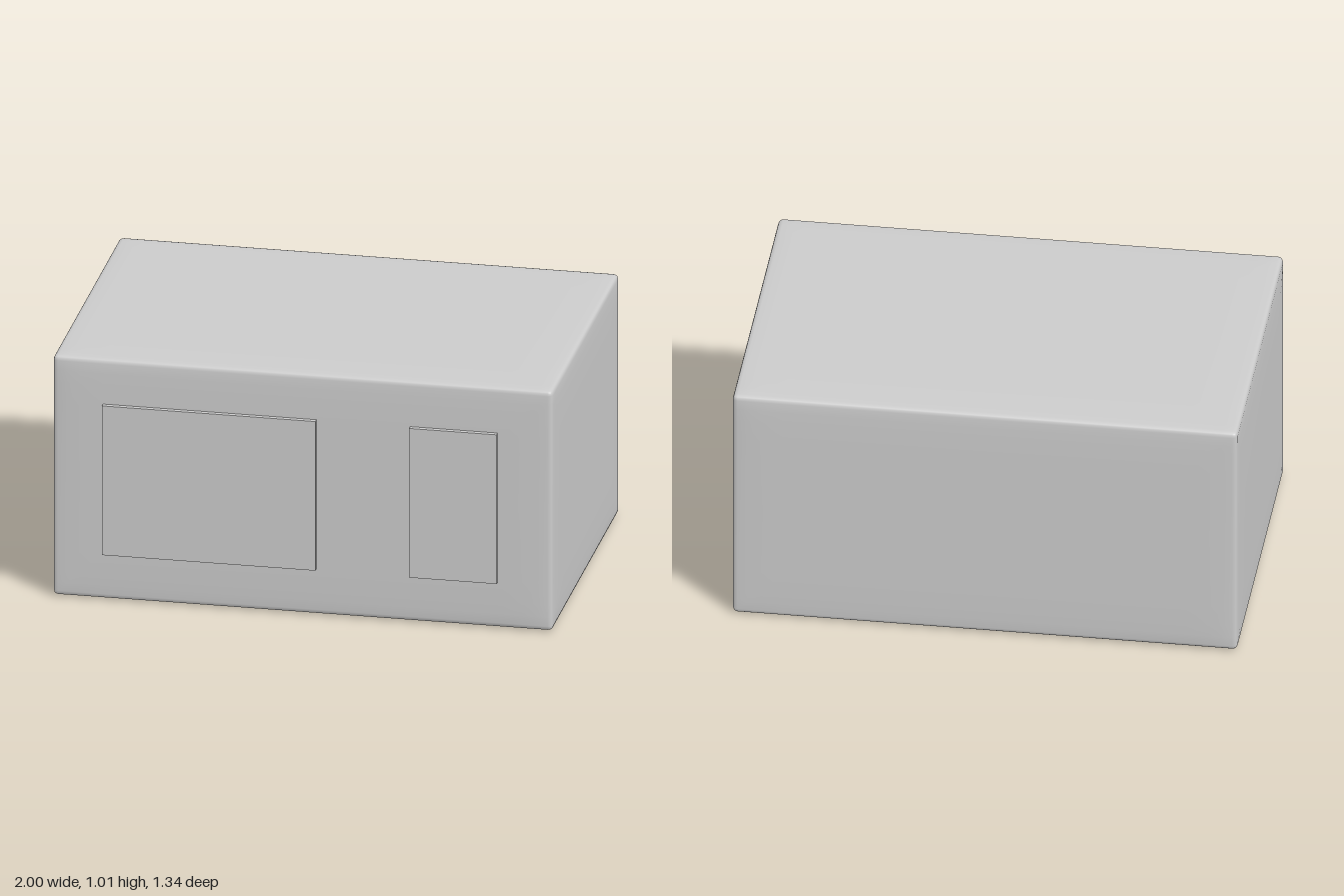
import * as THREE from 'three';
import { mergeVertices } from 'three/addons/utils/BufferGeometryUtils.js';

const material = new THREE.MeshStandardMaterial({ color: 0xcccccc });

// Box with tight rounded edges and faces that swell slightly towards the middle
function softBox(size, radius, swell, falloff) {
  const half = size.clone().multiplyScalar(0.5);
  const insets = [0, radius * 0.4, radius, 0.06, 0.11, falloff];
  const n = insets.length;
  const geometry = new THREE.BoxGeometry(2, 2, 2, 2 * n, 2 * n, 2 * n);
  geometry.deleteAttribute('normal');
  geometry.deleteAttribute('uv');
  const axes = ['x', 'y', 'z'];
  const pos = geometry.attributes.position;
  const p = new THREE.Vector3(), inner = new THREE.Vector3();

  for (let i = 0; i < pos.count; i++) {
    p.fromBufferAttribute(pos, i);
    // gather the grid lines near the edges
    for (const a of axes) {
      const step = Math.round((1 - Math.abs(p[a])) * n);
      p[a] = step === n ? 0 : Math.sign(p[a]) * (half[a] - insets[step]);
    }
    // round the edges and corners
    for (const a of axes) {
      const limit = half[a] - radius;
      inner[a] = THREE.MathUtils.clamp(p[a], -limit, limit);
    }
    p.sub(inner).setLength(radius).add(inner);
    // lower each face a little towards its borders
    const near = axes.map(a => Math.max(0, 1 - (half[a] - Math.abs(p[a])) / falloff) ** 2);
    axes.forEach((a, k) => {
      const drop = Math.max(near[(k + 1) % 3], near[(k + 2) % 3]);
      p[a] *= 1 - swell * drop / half[a];
    });
    pos.setXYZ(i, p.x, p.y, p.z);
  }
  const smooth = mergeVertices(geometry, 1e-5);
  smooth.computeVertexNormals();
  return smooth;
}

// Thin plate standing proud of the front face
function plate(name, x0, x1, y0, y1) {
  const mesh = new THREE.Mesh(new THREE.BoxGeometry(x1 - x0, y1 - y0, 0.04), material);
  mesh.name = name;
  mesh.position.set((x0 + x1) / 2, (y0 + y1) / 2, 0.651);
  return mesh;
}

export function createModel() {
  const group = new THREE.Group();
  group.name = 'microwaveOven';

  const body = new THREE.Mesh(softBox(new THREE.Vector3(2, 1.013, 1.322), 0.02, 0.005, 0.2), material);
  body.name = 'body';
  body.position.set(0, 0.5065, -0.01);
  group.add(body);

  group.add(plate('doorWindow', -0.795, 0.056, 0.197, 0.822));
  group.add(plate('controlPanel', 0.43, 0.778, 0.197, 0.822));
  return group;
}
